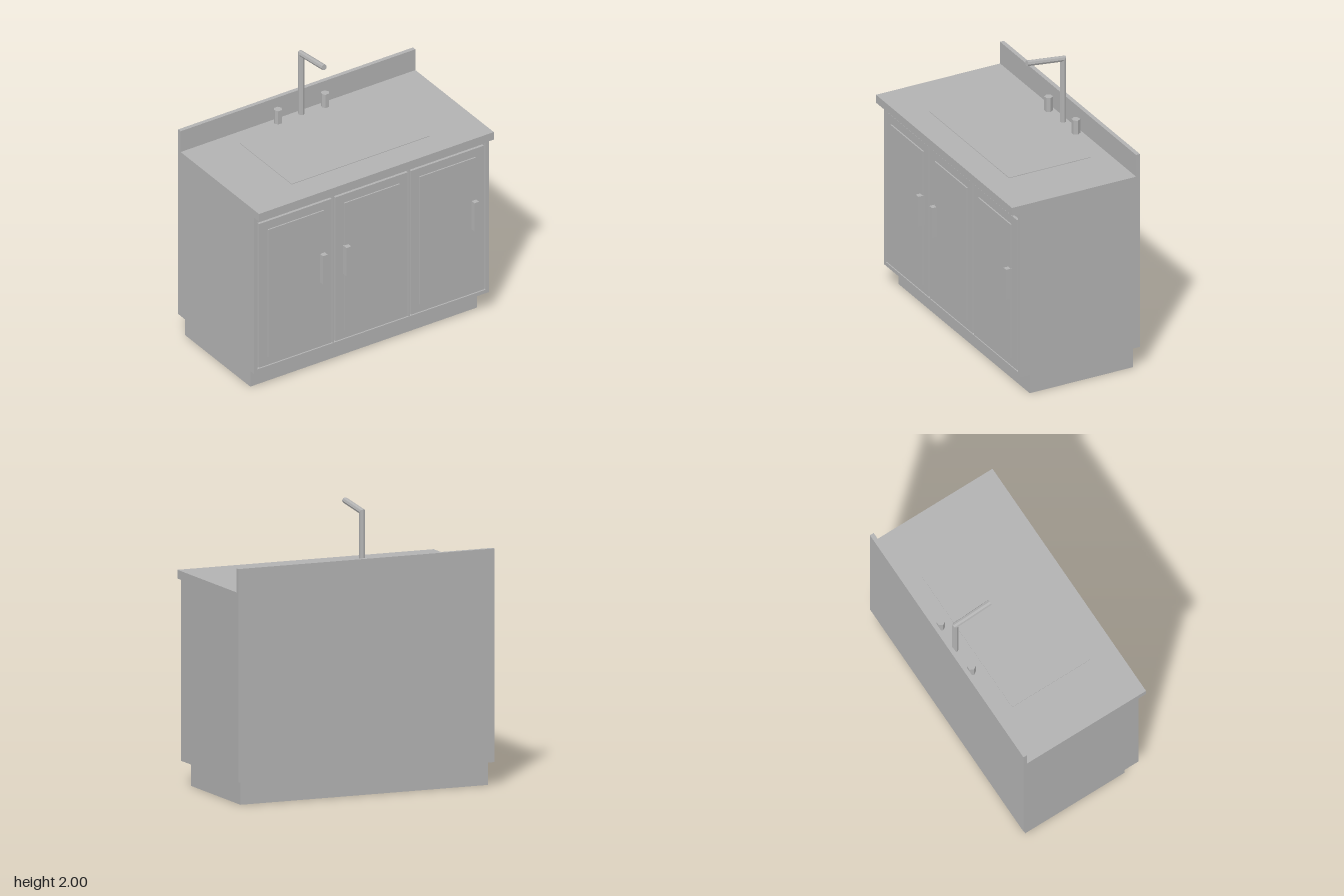
import * as THREE from 'three';

const grey = new THREE.MeshStandardMaterial({ color: 0xb2b2b2, flatShading: true });
grey.name = 'grey';
const thinGrey = grey;
thinGrey.side = THREE.DoubleSide;

export function createModel() {
  const group = new THREE.Group();

  const add = (name, geometry) => {
    const mesh = new THREE.Mesh(geometry, grey);
    mesh.name = name;
    group.add(mesh);
    return mesh;
  };
  // Box given by its limits on each axis
  const box = (name, [x0, x1], [y0, y1], [z0, z1]) => {
    const g = new THREE.BoxGeometry(x1 - x0, y1 - y0, z1 - z0);
    g.translate((x0 + x1) / 2, (y0 + y1) / 2, (z0 + z1) / 2);
    return add(name, g);
  };
  const rect = (path, x0, x1, y0, y1) =>
    path.moveTo(x0, y0).lineTo(x1, y0).lineTo(x1, y1).lineTo(x0, y1).closePath();

  const W = 0.955, FRONT = 0.435, BACK = -0.495, TOP = 1.465, RECESS = 0.415;

  // Cabinet, countertop and splashback
  box('cabinetBody', [-W, W], [0.16, 1.405], [BACK, RECESS]);
  box('countertop', [-W, W], [1.405, TOP], [BACK, 0.495]);
  box('splashback', [-W, W], [TOP, 1.63], [BACK, -0.465]);
  box('sinkCover', [-0.56, 0.56], [TOP, TOP + 0.004], [-0.33, 0.3]);

  // Front frame around the recessed door opening
  const frame = new THREE.Shape();
  rect(frame, -W, W, 0.16, 1.405);
  const hole = new THREE.Path();
  rect(hole, -0.928, 0.928, 0.188, 1.38);
  frame.holes.push(hole);
  const frameGeo = new THREE.ExtrudeGeometry(frame, { depth: FRONT - RECESS, bevelEnabled: false });
  add('frontFrame', frameGeo.translate(0, 0, RECESS));

  for (const x of [-0.308, 0.308])
    box('divider', [x - 0.006, x + 0.006], [0.188, 1.38], [RECESS, FRONT - 0.004]);

  // Doors with raised panels and box handles
  const doors = [
    { door: [-0.914, -0.324], panel: [-0.845, -0.39], handle: [-0.425, -0.386] },
    { door: [-0.294, 0.294], panel: [-0.225, 0.225], handle: [-0.234, -0.195] },
    { door: [0.322, 0.914], panel: [0.387, 0.842], handle: [0.808, 0.845] },
  ];
  for (const d of doors) {
    box('door', d.door, [0.196, 1.34], [RECESS, FRONT]);
    box('doorPanel', d.panel, [0.26, 1.275], [FRONT, FRONT + 0.01]);
    box('handle', d.handle, [0.715, 0.94], [FRONT, 0.48]);
  }

  // Hollow plinth: four thin walls, open below
  const wall = (w, x, z, turn) => {
    const mesh = add('plinthWall', new THREE.PlaneGeometry(w, 0.16));
    mesh.position.set(x, 0.08, z);
    mesh.rotation.y = turn;
  };
  wall(1.846, 0, 0.34, 0);
  wall(1.846, 0, -0.46, Math.PI);
  wall(0.8, 0.923, -0.06, Math.PI / 2);
  wall(0.8, -0.923, -0.06, -Math.PI / 2);

  // Hexagonal tap knobs
  for (const x of [-0.193, 0.19]) {
    const knob = add('tapKnob', new THREE.CylinderGeometry(0.03, 0.03, 0.105, 6).rotateY(Math.PI / 6));
    knob.position.set(x, TOP + 0.0525, -0.42);
  }

  // Faucet: upright and spout cut to a shared mitre at the elbow
  const elbowY = 1.943, elbowZ = -0.425, r = 0.021, mitre = 0.886;
  const pipe = (length, cutTop, sign) => {
    const g = new THREE.CylinderGeometry(r, r, length, 8, 1).translate(0, length / 2, 0);
    const p = g.attributes.position;
    for (let i = 0; i < p.count; i++)
      if ((p.getY(i) > length / 2) === cutTop) p.setY(i, p.getY(i) + sign * mitre * p.getZ(i));
    g.computeVertexNormals();
    return g;
  };
  add('faucetUpright', pipe(elbowY - TOP, true, -1)).position.set(0, TOP, elbowZ);
  const spout = add('faucetSpout', pipe(0.282, false, 1));
  spout.position.set(0, elbowY, elbowZ);
  spout.rotation.x = Math.PI / 2 - 0.12;

  return group;
}
